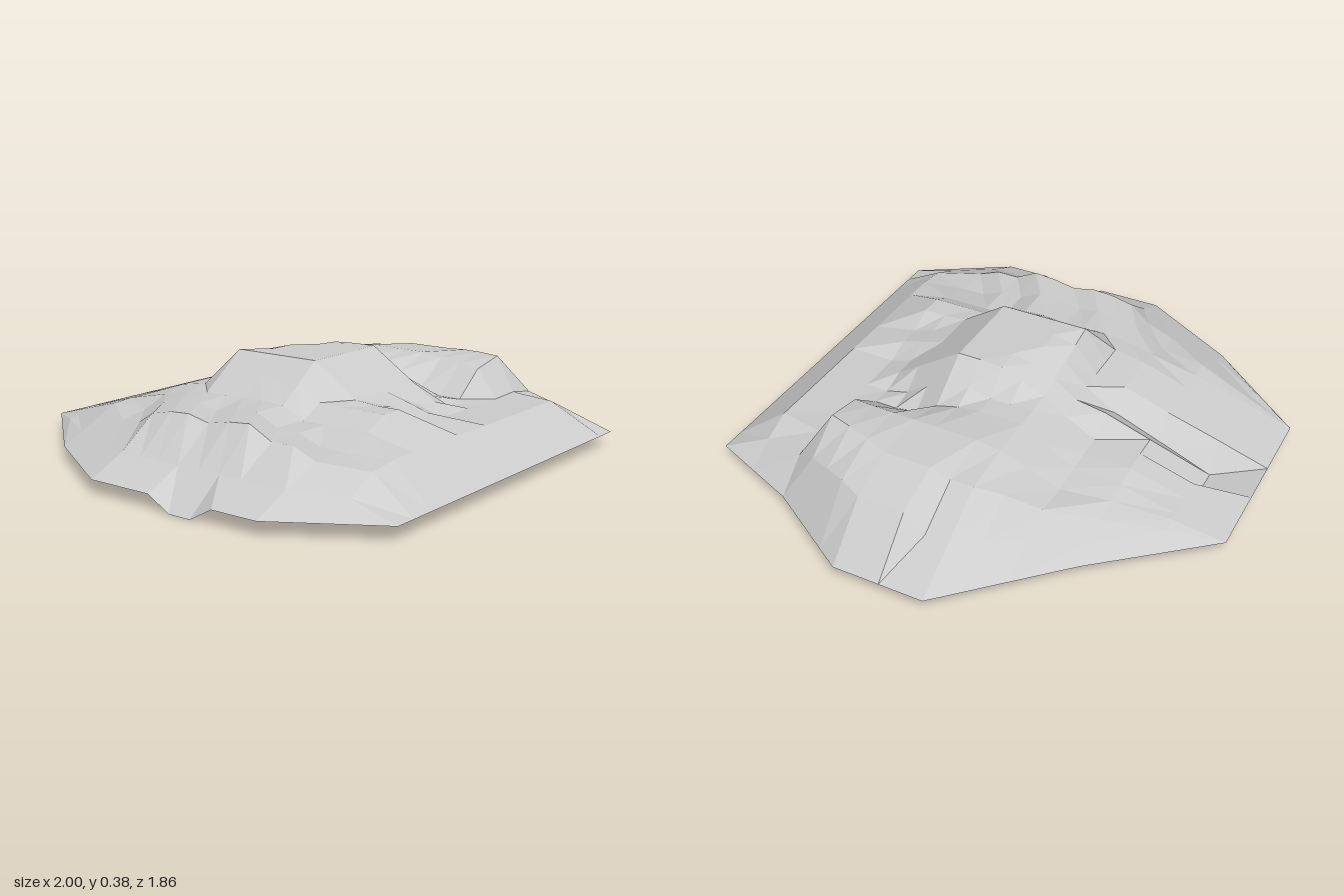
import * as THREE from 'three';

// Grid lines: fine in the middle, coarse towards the rim
const COLS = [-1, -0.86, -0.71, -0.57, -0.43, -0.34, -0.25, -0.16, -0.07, 0.02, 0.11, 0.2, 0.285, 0.45, 0.64, 0.82, 1];
const ROWS = [-0.93, -0.74, -0.53, -0.35, -0.23, -0.14, -0.05, 0.03, 0.12, 0.21, 0.3, 0.39, 0.48, 0.57, 0.75, 0.93];
const RIM = 0.05;

// Piecewise linear curve through [t, value] points
function curve(points, t) {
  if (t <= points[0][0]) return points[0][1];
  for (let i = 1; i < points.length; i++) {
    const [a, va] = points[i - 1], [b, vb] = points[i];
    if (t <= b) return va + (vb - va) * (t - a) / (b - a);
  }
  return points[points.length - 1][1];
}

// Outline: left and right x for each z
const leftEdge = z => curve([[-0.93, -0.43], [-0.53, -0.77], [-0.14, -1], [0.57, -1], [0.93, -0.78]], z);
const rightEdge = z => curve([[-0.93, 0.285], [-0.53, 0.62], [-0.14, 1], [0.21, 1], [0.57, 0.78], [0.93, 0.64]], z);

// Outer columns fan in to follow the outline
function columnX(x, z) {
  if (x < -0.43) return -0.43 + (x + 0.43) * (leftEdge(z) + 0.43) / -0.57;
  if (x > 0.285) return 0.285 + (x - 0.285) * (rightEdge(z) - 0.285) / 0.715;
  return x;
}

// Flat-topped mounds: top rectangle, height and the slope of each side
const SUMMIT = { x: [-0.25, 0.11], z: [-0.14, 0.21], top: 0.375, left: 0.72, right: 0.72, back: 1, front: 0.65 };
const MOUNDS = [
  { x: [-0.34, -0.25], z: [0, 0.57], top: 0.25, left: 0.5, right: 0.5, back: 1, front: 0.45 },        // front spur
  { x: [-0.34, -0.07], z: [0, 0.42], top: 0.25, left: 0.5, right: 0.8, back: 1, front: 0.3 },         // front ledge
  { x: [-0.4, 0.02], z: [-0.3, 0.1], top: 0.25, left: 0.7, right: 0.8, back: 0.4, front: 0.7 },       // back shoulder
  { x: [0.45, 0.6], z: [-0.12, 0.48], top: 0.3, left: 0.75, right: 0.34, back: 0.7, front: 1.4 },     // right hill
  { x: [0.11, 0.6], z: [-0.14, 0.1], top: 0.287, left: 0.4, right: 0.34, back: 0.6, front: 0.65 },    // saddle
];

const over = v => Math.max(0, v);

function moundHeight(m, x, z) {
  return m.top - m.left * over(m.x[0] - x) - m.right * over(x - m.x[1])
    - m.back * over(m.z[0] - z) - m.front * over(z - m.z[1]);
}

function heightAt(x, z) {
  const l = leftEdge(z), r = rightEdge(z);
  // Rim, with the left valley notch
  if (x <= l + 1e-6) return z > 0.15 && z < 0.35 ? 0 : RIM;
  if (x >= r - 1e-6 || Math.abs(z) > 0.92) return RIM;

  // Low skirt rising from the outline
  let h = Math.min(0.17, RIM + 0.31 * (z + 0.93), RIM + 0.67 * (0.93 - z),
    RIM + 0.45 * (x - l), RIM + 0.7 * (r - x));
  for (const m of MOUNDS) h = Math.max(h, moundHeight(m, x, z));

  // Summit, cut diagonally towards the back left
  h = Math.max(h, moundHeight(SUMMIT, x, z) - 0.45 * over(0.5 * x - 0.015 - z));

  // Left terrace with slanting ripples
  const terrace = curve([[-0.35, 0.08], [-0.14, 0.22], [0, 0.25], [0.12, 0.225], [0.25, 0.25],
    [0.33, 0.25], [0.39, 0.205], [0.48, 0.205], [0.57, 0.17], [0.75, 0.08]], z + 0.6 * (x + 0.71));
  h = Math.max(h, terrace - over(-0.71 - x) - 0.3 * over(x + 0.43));

  // Outer right wall, steep in front and gentler behind
  h = Math.min(h, RIM + (z < 0 ? 0.6 : 1.1) * (r - x));

  // Shallow hollow behind the right hill
  h -= over(0.04 - 0.2 * Math.hypot(x - 0.4, z + 0.48));

  // Back gully
  if (x > -0.1 && x < (z < -0.6 ? 0.05 : 0) && z < -0.15) {
    h = Math.min(h, curve([[-0.93, 0.05], [-0.74, 0.015], [-0.53, 0.1], [-0.35, 0.17], [-0.14, 0.31]], z));
  }
  return h;
}

function buildTerrain() {
  const positions = [];
  const vertex = (i, j) => {
    const z = ROWS[j], x = columnX(COLS[i], z);
    return new THREE.Vector3(x, heightAt(x, z), z);
  };
  const triangle = (...corners) => corners.forEach(p => positions.push(p.x, p.y, p.z));
  for (let j = 0; j < ROWS.length - 1; j++) {
    for (let i = 0; i < COLS.length - 1; i++) {
      const a = vertex(i, j), b = vertex(i, j + 1), c = vertex(i + 1, j + 1), d = vertex(i + 1, j);
      // The diagonals lean the other way on the left flank
      if (COLS[i] < -0.4) {
        triangle(a, b, d);
        triangle(b, c, d);
      } else {
        triangle(a, b, c);
        triangle(a, c, d);
      }
    }
  }
  const geometry = new THREE.BufferGeometry();
  geometry.setAttribute('position', new THREE.Float32BufferAttribute(positions, 3));
  geometry.computeVertexNormals();
  return geometry;
}

export function createModel() {
  const group = new THREE.Group();
  group.name = 'rockyHill';
  const stone = new THREE.MeshStandardMaterial({ color: 0xcccccc, flatShading: true, side: THREE.DoubleSide });
  stone.name = 'stone grey';
  const terrain = new THREE.Mesh(buildTerrain(), stone);
  terrain.name = 'terrain';
  group.add(terrain);
  return group;
}
